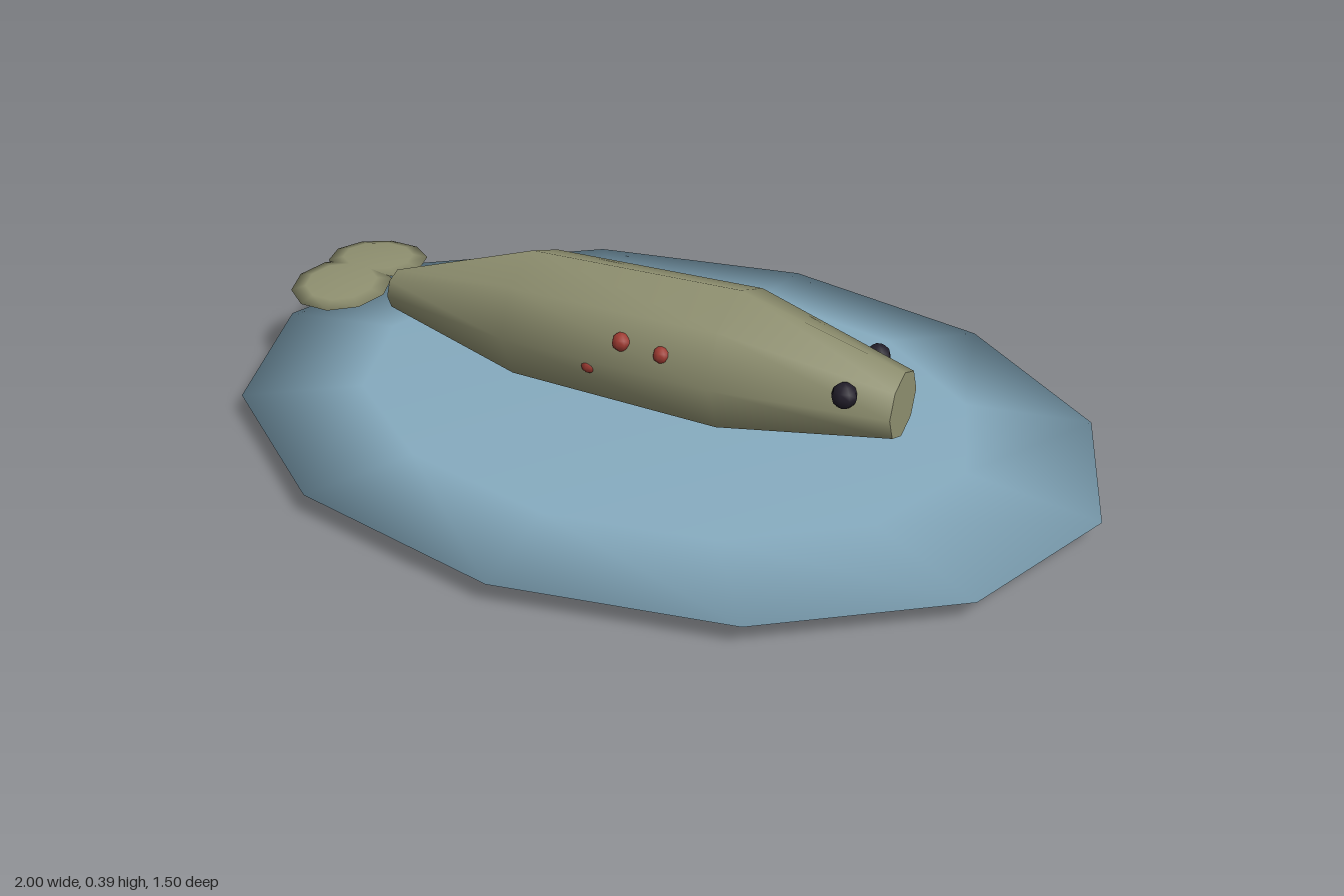
import * as THREE from 'three';

const mat = (name, color) => {
  const m = new THREE.MeshStandardMaterial({ color });
  m.name = name;
  return m;
};

export function createModel() {
  const model = new THREE.Group();
  const water = mat('water blue', 0x86abbf);
  const skin = mat('olive skin', 0x8f9070);
  const dark = mat('eye black', 0x221e2a);
  const red = mat('spot red', 0x9c3a31);

  const add = (name, geo, material, x, y, z) => {
    const mesh = new THREE.Mesh(geo, material);
    mesh.name = name;
    mesh.position.set(x, y, z);
    model.add(mesh);
    return mesh;
  };

  // Flattened oval pool
  add('pool', new THREE.SphereGeometry(1, 12, 4), water, 0, 0.052, 0).scale.set(1, 0.05, 0.75);

  // Body: eight-sided tube through four rings [x, centre height, radius]
  const rings = [[-0.687, 0.192, 0.047], [-0.32, 0.22, 0.15], [0.185, 0.228, 0.161], [0.56, 0.21, 0.076]];
  const body = new THREE.CylinderGeometry(1, 1, 1, 8, 3, false, Math.PI / 2);
  const p = body.attributes.position;
  for (let i = 0; i < p.count; i++) {
    const [x, y, r] = rings[Math.round((p.getY(i) + 0.5) * 3)];
    p.setXYZ(i, x, y - p.getX(i) * r, p.getZ(i) * r);
  }
  body.computeVertexNormals();
  add('body', body, skin, 0, 0, -0.003);

  // Tail flukes and eyes, mirrored on both sides
  const flukeGeo = new THREE.SphereGeometry(1, 10, 4);
  const ball = new THREE.SphereGeometry(1, 8, 6);
  for (const s of [1, -1]) {
    const fluke = add(s > 0 ? 'rightFluke' : 'leftFluke', flukeGeo, skin, -0.79, 0.213, s * 0.075);
    fluke.scale.set(0.115, 0.011, 0.116);
    fluke.rotation.x = s * 0.08;
    add('eye', ball, dark, 0.465, 0.255, s * 0.093 - 0.003).scale.setScalar(0.028);
  }

  // Red spots on the flanks [x, y, z, radius]
  const spots = [
    [-0.03, 0.277, 0.13, 0.021],
    [0.067, 0.271, 0.133, 0.019],
    [-0.107, 0.204, 0.134, 0.018],
    [0.36, 0.222, -0.133, 0.02],
  ];
  for (const [x, y, z, r] of spots) add('spot', ball, red, x, y, z).scale.setScalar(r);

  return model;
}
